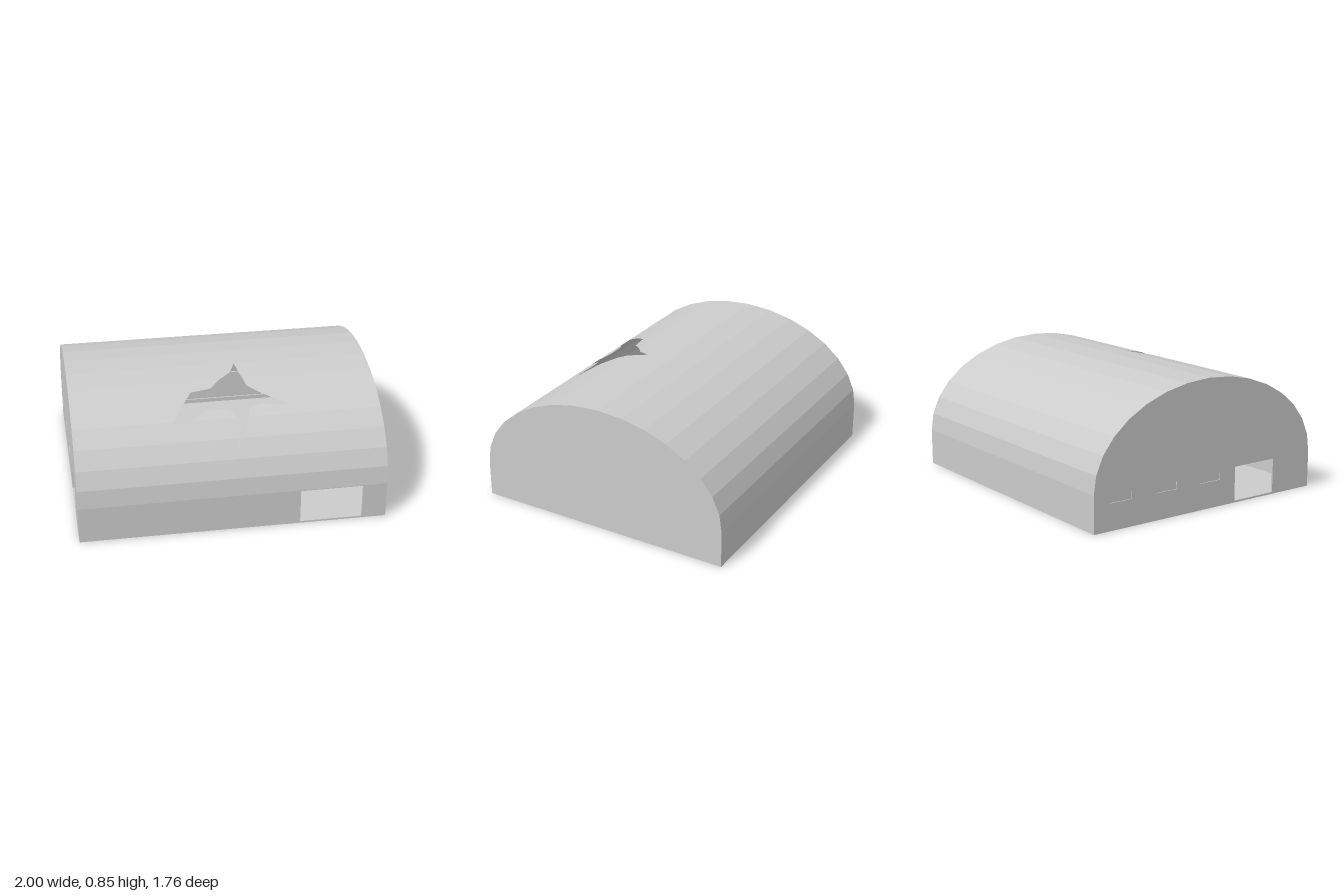
import * as THREE from 'three';

const HALF_X = 1, HALF_Z = 0.88, EAVE = 0.245, RISE = 0.605, BANDS = 16, WALL = 0.012;

// Corners of the faceted vault, from the front eave over the ridge to the back eave
const arch = Array.from({ length: BANDS + 1 }, (_, i) => {
  const a = (Math.PI * i) / BANDS;
  return new THREE.Vector2(HALF_Z * Math.cos(a), EAVE + RISE * Math.sin(a));
});

// Plan outline (x, z) of the bird-shaped skylight
const bird = [
  [0.11, 0.18], [0.125, 0.28], [0.155, 0.4], [0.245, 0.475], [0.4, 0.56],
  [0.32, 0.56], [0.235, 0.545], [0.15, 0.56], [0.12, 0.66], [0.025, 0.785],
  [0.08, 0.66], [0.03, 0.58], [-0.035, 0.56], [-0.145, 0.57], [-0.245, 0.625],
  [-0.38, 0.66], [-0.215, 0.425], [-0.085, 0.405], [-0.015, 0.335], [0.065, 0.27],
];

// Height of the faceted vault at depth z
function roofHeight(z) {
  for (let i = 0; i < BANDS; i++) {
    const a = arch[i], b = arch[i + 1];
    if (z <= a.x + 1e-9 && z >= b.x - 1e-9) return a.y + ((b.y - a.y) * (a.x - z)) / (a.x - b.x);
  }
  return EAVE;
}

// Vault cut into slices along z; each slice is filled on both sides of the skylight
function roofGeometry() {
  const cuts = [...arch.map((p) => p.x), ...bird.map((p) => p[1])].sort((a, b) => a - b);
  const pos = [];
  for (let i = 0; i < cuts.length - 1; i++) {
    const z0 = cuts[i], z1 = cuts[i + 1], mid = (z0 + z1) / 2;
    if (z1 - z0 < 1e-6) continue;
    const sides = [];
    bird.forEach((p, k) => {
      const q = bird[(k + 1) % bird.length];
      if ((p[1] < mid) === (q[1] < mid)) return;
      const at = (z) => p[0] + ((q[0] - p[0]) * (z - p[1])) / (q[1] - p[1]);
      sides.push(at);
    });
    sides.sort((f, g) => f(mid) - g(mid));
    const lines = [() => -HALF_X, ...sides, () => HALF_X];
    const y0 = roofHeight(z0), y1 = roofHeight(z1);
    for (let k = 0; k < lines.length; k += 2) {
      const l = lines[k], r = lines[k + 1];
      const a = [l(z0), y0, z0], b = [l(z1), y1, z1], c = [r(z1), y1, z1], d = [r(z0), y0, z0];
      pos.push(...a, ...b, ...c, ...a, ...c, ...d);
    }
  }
  const g = new THREE.BufferGeometry();
  g.setAttribute('position', new THREE.Float32BufferAttribute(pos, 3));
  g.computeVertexNormals();
  return g;
}

const rect = (C, x0, y0, x1, y1) =>
  new C([[x0, y0], [x1, y0], [x1, y1], [x0, y1]].map(([x, y]) => new THREE.Vector2(x, y)));

const wallGeometry = (shape) => new THREE.ExtrudeGeometry(shape, { depth: WALL, bevelEnabled: false });

export function createModel() {
  const model = new THREE.Group();
  const mat = new THREE.MeshStandardMaterial({ color: 0xcccccc, flatShading: true, side: THREE.DoubleSide });
  const add = (name, geo, x = 0, y = 0, z = 0) => {
    const m = new THREE.Mesh(geo, mat);
    m.name = name;
    m.position.set(x, y, z);
    model.add(m);
    return m;
  };

  add('floor', new THREE.BoxGeometry(2 * HALF_X, 0.01, 2 * HALF_Z), 0, 0.005, 0);
  add('vaultedRoof', roofGeometry());

  // Long walls; the front one has a wide doorway
  const inner = HALF_X - WALL;
  const front = rect(THREE.Shape, -inner, 0.01, inner, EAVE);
  front.holes.push(rect(THREE.Path, 0.43, 0.012, 0.84, 0.24));
  add('frontWall', wallGeometry(front), 0, 0, HALF_Z - WALL);
  add('backWall', wallGeometry(rect(THREE.Shape, -inner, 0.01, inner, EAVE)), 0, 0, -HALF_Z);
  add('backSkirting', new THREE.BoxGeometry(2 * inner, 0.03, 0.01), 0, 0.025, -HALF_Z + WALL + 0.005);

  // Arched end walls; the right one has a doorway and three slit windows
  const endShape = () => new THREE.Shape([
    new THREE.Vector2(-HALF_Z, 0.01), new THREE.Vector2(HALF_Z, 0.01), ...arch,
  ]);
  const endWall = (name, shape, x) => add(name, wallGeometry(shape).rotateY(-Math.PI / 2), x);
  endWall('leftEndWall', endShape(), HALF_X);
  const right = endShape();
  right.holes.push(rect(THREE.Path, 0.23, 0.012, 0.56, 0.24));
  for (const z of [-0.68, -0.33, 0.02]) {
    right.holes.push(rect(THREE.Path, z - 0.08, 0.175, z + 0.08, 0.225));
    add('windowPane', new THREE.BoxGeometry(0.004, 0.05, 0.16), -HALF_X + 0.008, 0.2, z);
  }
  endWall('rightEndWall', right, -HALF_X + WALL);

  return model;
}
